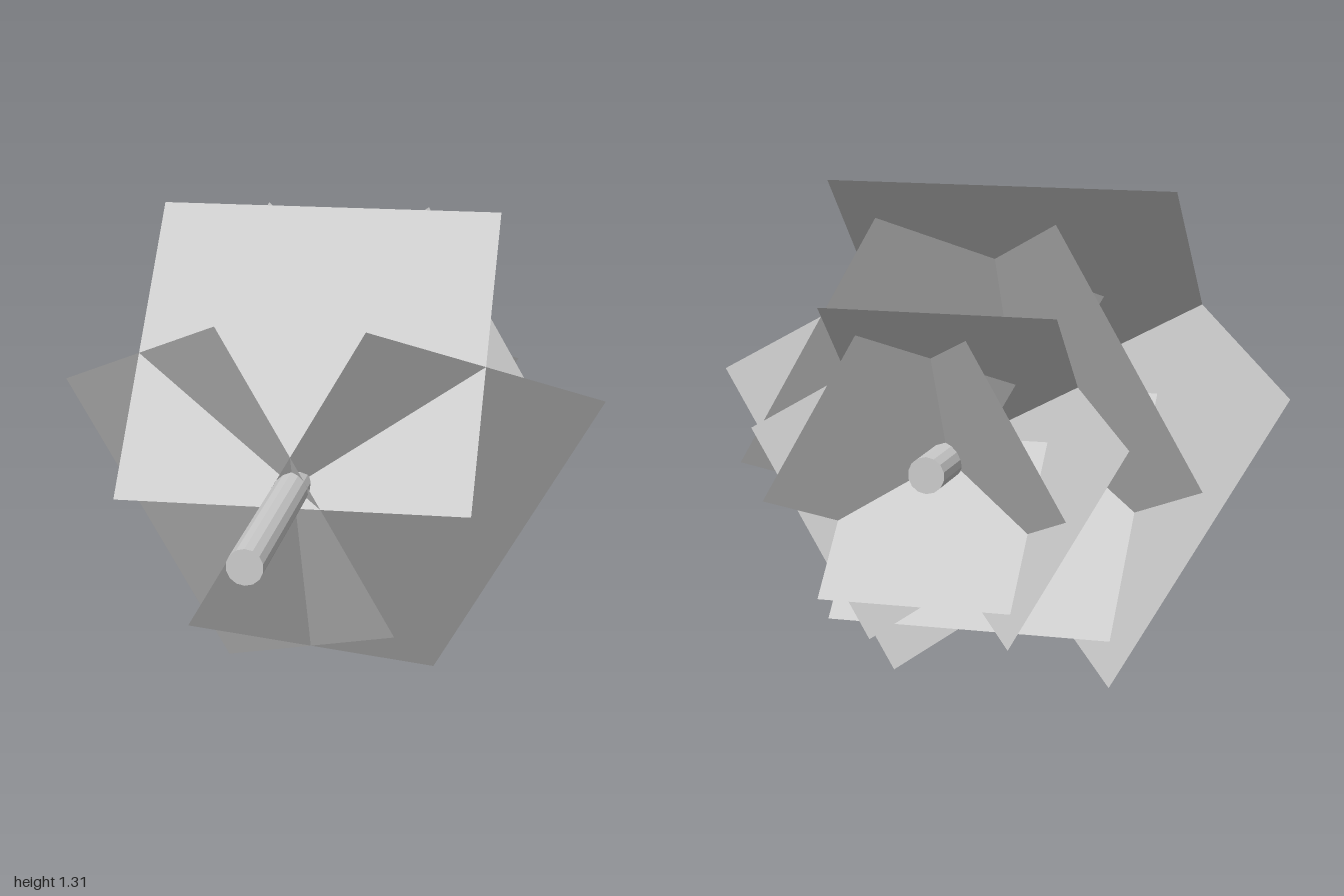
import * as THREE from 'three';

const AXIS_Y = 0.705, RADIUS = 0.045;

export function createModel() {
  const model = new THREE.Group();
  model.name = 'leafyBranch';
  const stemMaterial = new THREE.MeshStandardMaterial({ color: 0xcccccc, flatShading: true });
  const leafMaterial = new THREE.MeshStandardMaterial({ color: 0xcccccc, side: THREE.DoubleSide });

  // Stem lying along z, ending at the node after the last whorl
  const front = 1, back = -0.885;
  const stem = new THREE.Mesh(
    new THREE.CylinderGeometry(RADIUS, RADIUS, front - back, 14).rotateX(Math.PI / 2),
    stemMaterial
  );
  stem.name = 'stem';
  stem.position.set(0, AXIS_Y, (front + back) / 2);
  model.add(stem);

  // Whorls of three square leaves leaning back 45 degrees, each 0.8 the size
  // of the one before and turned half a turn from it
  let size = 0.925, step = 0.435, z = 0.4;
  for (let i = 0; i < 4; i++) {
    const whorl = new THREE.Group();
    whorl.name = `leafWhorl${i + 1}`;
    whorl.position.set(0, AXIS_Y, z);
    whorl.rotation.z = i % 2 ? Math.PI : 0;

    const leafGeometry = new THREE.PlaneGeometry(size, size)
      .translate(0, size / 2, 0)
      .rotateX(-Math.PI / 4)
      .translate(0, -RADIUS, 0);
    for (let k = 0; k < 3; k++) {
      const leaf = new THREE.Mesh(leafGeometry, leafMaterial);
      leaf.name = 'leaf';
      leaf.rotation.z = (k * 2 * Math.PI) / 3;
      whorl.add(leaf);
    }
    model.add(whorl);

    z -= step;
    step *= 0.8;
    size *= 0.8;
  }
  return model;
}
